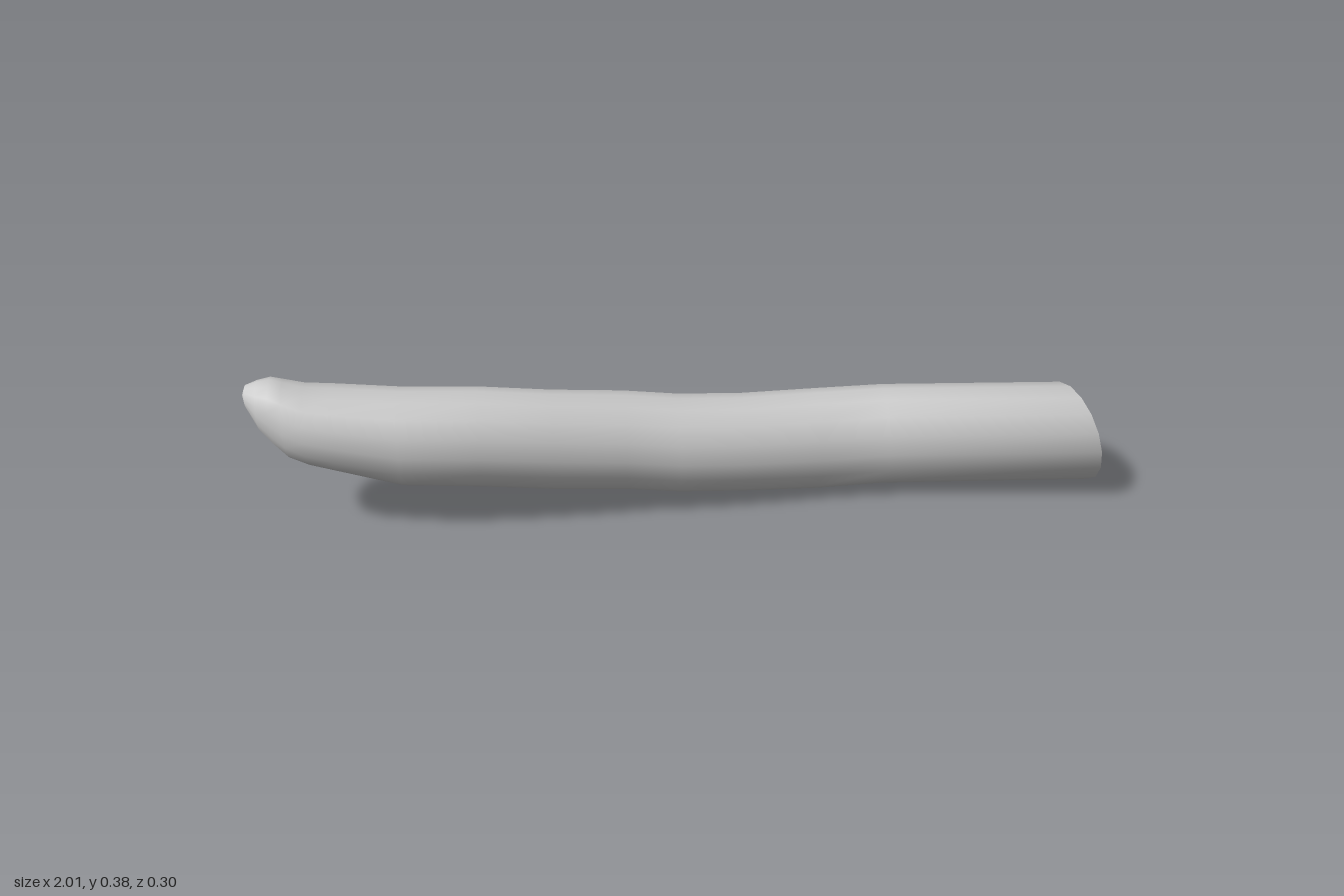
import * as THREE from 'three';

const SIDES = 16;

// Cross-sections along the length: x, top y, bottom y, back z, front z
const SECTIONS = [
  [-0.992, 0.362, 0.312, 0.000, 0.055],
  [-0.965, 0.373, 0.255, -0.022, 0.083],
  [-0.935, 0.381, 0.218, -0.034, 0.103],
  [-0.905, 0.374, 0.188, -0.043, 0.118],
  [-0.860, 0.362, 0.170, -0.053, 0.134],
  [-0.800, 0.354, 0.150, -0.066, 0.138],
  [-0.650, 0.341, 0.106, -0.069, 0.148],
  [-0.470, 0.330, 0.090, -0.076, 0.142],
  [-0.300, 0.308, 0.066, -0.086, 0.126],
  [-0.130, 0.286, 0.045, -0.111, 0.106],
  [0.000, 0.268, 0.027, -0.119, 0.100],
  [0.150, 0.256, 0.014, -0.132, 0.086],
  [0.340, 0.251, 0.000, -0.153, 0.066],
  [0.500, 0.257, 0.008, -0.148, 0.066],
  [0.960, 0.266, 0.020, -0.110, 0.108],
];

// Slanted plane of the cut end
const cutX = (y, z) => 0.963 + 0.35 * z - 0.18 * (y - 0.145);

function createStem() {
  const positions = [];
  const indices = [];
  const last = SECTIONS.length - 1;

  // Elliptical rings; the last one lies on the slanted cut
  SECTIONS.forEach(([x, top, bottom, back, front], i) => {
    for (let j = 0; j < SIDES; j++) {
      const a = (j / SIDES) * Math.PI * 2;
      const y = (top + bottom) / 2 + ((top - bottom) / 2) * Math.sin(a);
      const z = (back + front) / 2 + ((front - back) / 2) * Math.cos(a);
      positions.push(i === last ? cutX(y, z) : x, y, z);
    }
  });

  // Skin between neighbouring rings
  for (let i = 0; i < last; i++) {
    for (let j = 0; j < SIDES; j++) {
      const k = (j + 1) % SIDES;
      const a = i * SIDES + j;
      const b = i * SIDES + k;
      const c = b + SIDES;
      const d = a + SIDES;
      indices.push(a, d, c, a, c, b);
    }
  }

  // Rounded tip and cut end, both closed by a fan
  const tip = positions.length / 3;
  positions.push(-1, 0.34, 0.028);
  const cut = tip + 1;
  positions.push(cutX(0.145, 0), 0.145, 0);
  for (let j = 0; j < SIDES; j++) {
    const k = (j + 1) % SIDES;
    indices.push(tip, j, k);
    indices.push(cut, last * SIDES + k, last * SIDES + j);
  }

  const geometry = new THREE.BufferGeometry();
  geometry.setAttribute('position', new THREE.Float32BufferAttribute(positions, 3));
  geometry.setIndex(indices);
  geometry.computeVertexNormals();
  return geometry;
}

export function createModel() {
  const group = new THREE.Group();
  group.name = 'curvedStem';
  const stem = new THREE.Mesh(createStem(), new THREE.MeshStandardMaterial({ color: 0xcccccc }));
  stem.name = 'stem';
  group.add(stem);
  return group;
}
